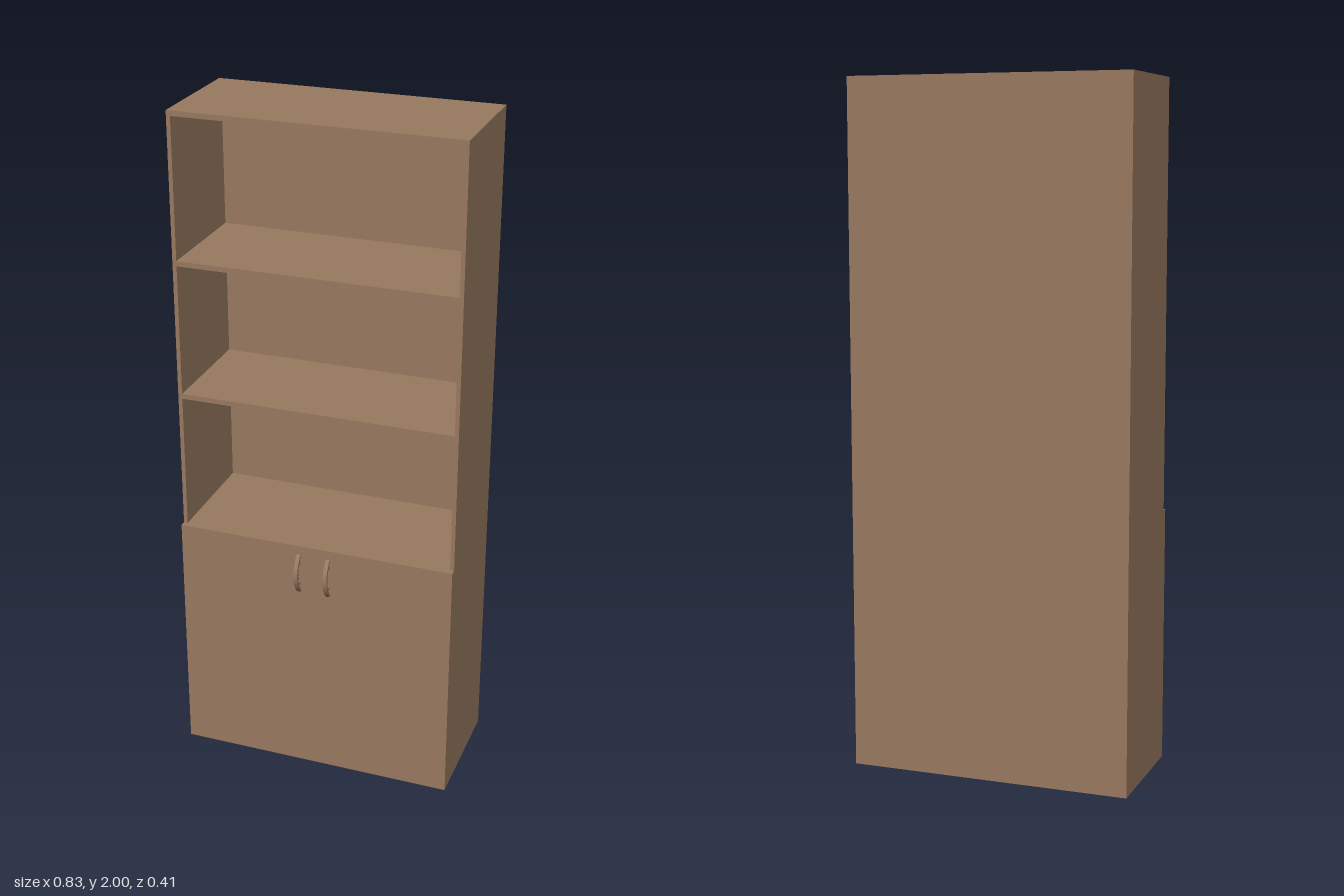
import * as THREE from 'three';

export function createModel() {
  const group = new THREE.Group();
  const wood = new THREE.MeshStandardMaterial({ color: 0x997a60 });
  wood.name = 'brown wood';

  const W = 0.417, T = 0.012;                      // half width, side thickness
  const BACK = -0.205, FRONT = 0.153, DOOR = 0.171;

  // Box given by its minimum and maximum corners
  function panel(name, x0, x1, y0, y1, z0, z1) {
    const mesh = new THREE.Mesh(new THREE.BoxGeometry(x1 - x0, y1 - y0, z1 - z0), wood);
    mesh.position.set((x0 + x1) / 2, (y0 + y1) / 2, (z0 + z1) / 2);
    mesh.name = name;
    group.add(mesh);
  }

  // Carcass
  panel('leftSide', W - T, W, 0, 2, BACK, FRONT);
  panel('rightSide', -W, -W + T, 0, 2, BACK, FRONT);
  panel('backPanel', -W + T, W - T, 0, 2, BACK, BACK + 0.015);
  const shelves = [['bottom', 0.015], ['cabinetTop', 0.755], ['lowerShelf', 1.176], ['upperShelf', 1.578], ['top', 2]];
  for (const [name, y] of shelves) panel(name, -W + T, W - T, y - 0.015, y, BACK + 0.015, FRONT);

  // Doors
  panel('leftDoor', 0, W, 0, 0.755, FRONT, DOOR);
  panel('rightDoor', -W, 0, 0, 0.755, FRONT, DOOR);

  // Arched handle profile, drawn with depth along x and height along y
  const arch = new THREE.Shape();
  arch.moveTo(0.004, -0.0625);
  arch.quadraticCurveTo(0.06, 0, 0.004, 0.0625);
  arch.lineTo(0.001, 0.056);
  arch.quadraticCurveTo(0.045, 0, 0.001, -0.056);
  arch.closePath();
  const handleGeometry = new THREE.ExtrudeGeometry(arch, { depth: 0.012, bevelEnabled: false, curveSegments: 10 });
  handleGeometry.translate(0, 0, -0.006).rotateY(-Math.PI / 2);

  for (const s of [1, -1]) {
    const side = s > 0 ? 'left' : 'right', x = s * 0.045;
    const handle = new THREE.Mesh(handleGeometry, wood);
    handle.name = side + 'Handle';
    handle.position.set(x, 0.667, DOOR);
    group.add(handle);
    // Posts joining the handle to the door
    for (const y of [0.634, 0.7]) panel(side + 'HandlePost', x - 0.004, x + 0.004, y - 0.004, y + 0.004, DOOR, DOOR + 0.018);
  }
  return group;
}
